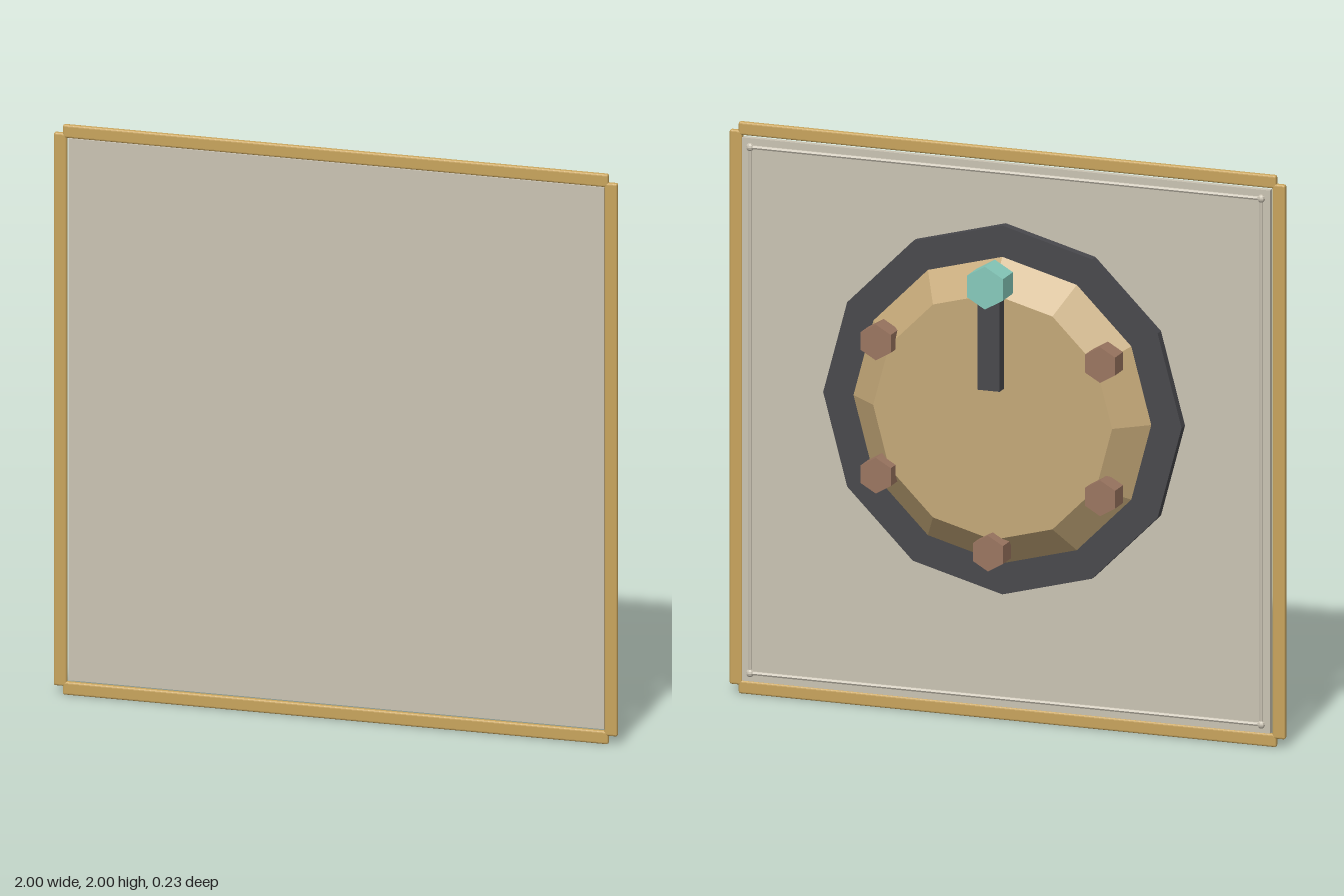
import * as THREE from 'three';
import { RoundedBoxGeometry } from 'three/addons/geometries/RoundedBoxGeometry.js';

export function createModel() {
  const model = new THREE.Group();
  const material = (name, color) => {
    const m = new THREE.MeshStandardMaterial({ color, flatShading: true });
    m.name = name;
    return m;
  };
  const gold = material('gold', 0xc8a45c);
  const stone = material('pale stone', 0xcac3b3);
  const iron = material('dark iron', 0x48484c);
  const brass = material('dull brass', 0xc4a878);
  const bronze = material('brown bronze', 0x9a7560);
  const teal = material('teal', 0x86cabb);

  const add = (name, geometry, mat, x, y, z) => {
    const mesh = new THREE.Mesh(geometry, mat);
    mesh.name = name;
    mesh.position.set(x, y, z);
    model.add(mesh);
    return mesh;
  };
  // Prism along z; the back end is the one towards -z
  const prism = (backRadius, frontRadius, depth, sides) =>
    new THREE.CylinderGeometry(backRadius, frontRadius, depth, sides).rotateX(-Math.PI / 2);

  // Square panel
  add('panel', new THREE.BoxGeometry(1.9, 1.9, 0.02), stone, 0, 1, 0.095);

  for (const s of [-1, 1]) {
    // Outer frame, notched at the corners
    add('frameRail', new RoundedBoxGeometry(1.935, 0.046, 0.02, 2, 0.007), gold, 0, 1 + s * 0.977, 0.106);
    add('framePost', new RoundedBoxGeometry(0.046, 1.94, 0.02, 2, 0.007), gold, s * 0.977, 1, 0.106);
    // Thin beading on the back, with a stud at each corner
    const rod = new THREE.CylinderGeometry(0.007, 0.007, 1.84, 6);
    add('beadPost', rod, stone, s * 0.92, 1, 0.083);
    add('beadRail', rod, stone, 0, 1 + s * 0.92, 0.083).rotation.z = Math.PI / 2;
    for (const t of [-1, 1]) {
      add('cornerStud', new THREE.SphereGeometry(0.014, 8, 6), stone, s * 0.92, 1 + t * 0.92, 0.083);
    }
  }

  // Round mechanism on the back
  const cy = 1.098;
  add('basePlate', prism(0.645, 0.645, 0.034, 12), iron, 0, cy, 0.069);
  add('housing', prism(0.43, 0.537, 0.094, 12), brass, 0, cy, 0.006);

  // Ring of hexagonal bolts
  for (let i = 0; i < 6; i++) {
    const a = Math.PI / 6 + (i * Math.PI) / 3;
    add('bolt', prism(0.0625, 0.0625, 0.076, 6), bronze,
      0.466 * Math.cos(a), cy + 0.466 * Math.sin(a), -0.049);
  }

  // Pointer and its hexagonal grip
  add('pointer', new THREE.BoxGeometry(0.08, 0.36, 0.044), iron, 0, 1.38, -0.059);
  add('grip', prism(0.075, 0.075, 0.096, 6), teal, 0, 1.568, -0.068);

  return model;
}
